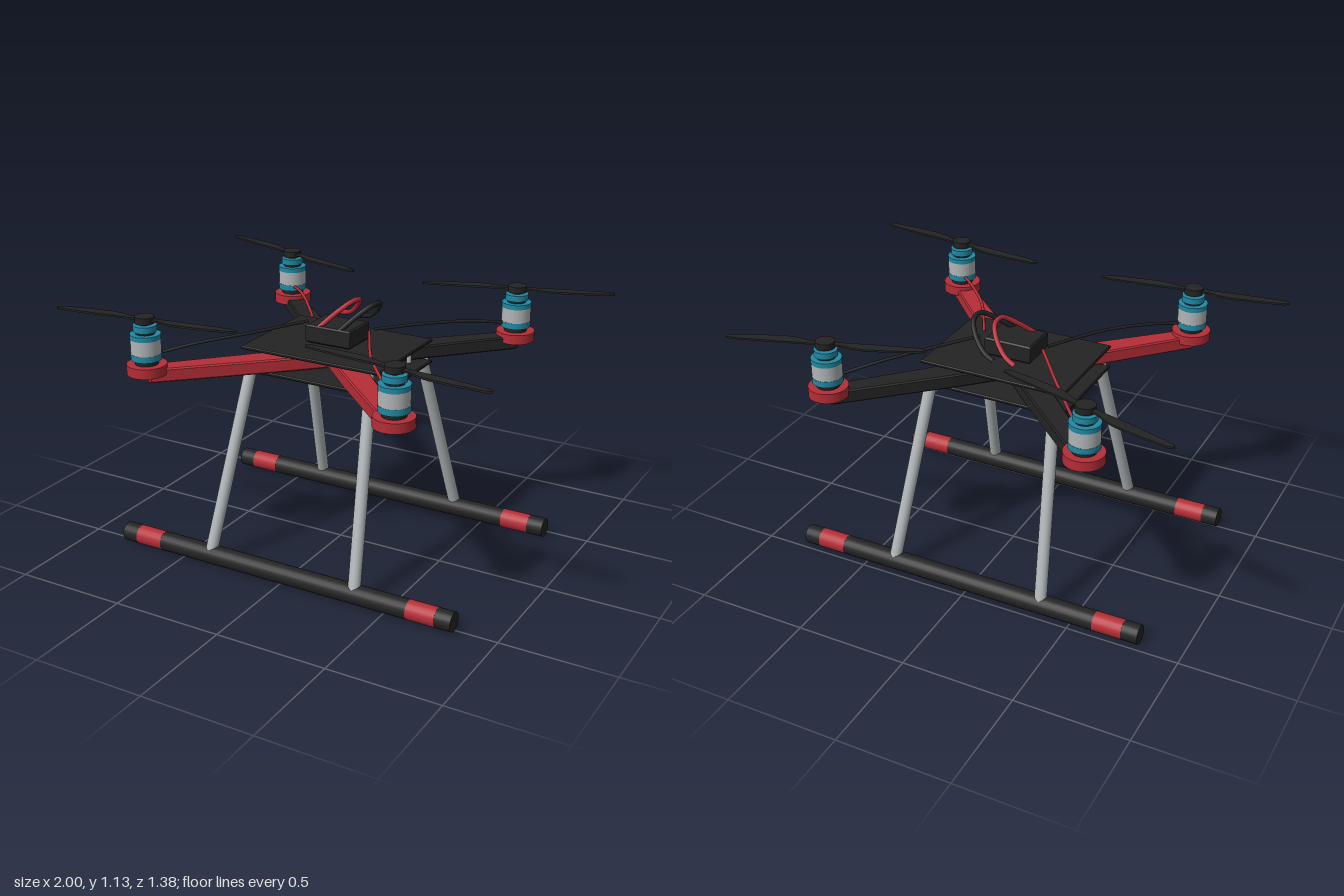
import * as THREE from 'three';

const paint = (name, color) => {
  const m = new THREE.MeshStandardMaterial({ color });
  m.name = name;
  return m;
};

export function createModel() {
  const black = paint('carbon black', 0x232323);
  const red = paint('red', 0xb52d36);
  const teal = paint('teal', 0x2089a3);
  const grey = paint('aluminium grey', 0xb0b5b7);

  const model = new THREE.Group();
  model.name = 'quadcopter';
  const CZ = 0.03; // airframe centre
  const V = (x, y, z) => new THREE.Vector3(x, y, z);

  const add = (parent, name, geo, mat, x = 0, y = 0, z = 0) => {
    const mesh = new THREE.Mesh(geo, mat);
    mesh.name = name;
    mesh.position.set(x, y, z);
    parent.add(mesh);
    return mesh;
  };
  // Vertical disc from y0 to y1
  const disc = (parent, name, r, y0, y1, mat, x = 0, z = 0) =>
    add(parent, name, new THREE.CylinderGeometry(r, r, y1 - y0, 32), mat, x, (y0 + y1) / 2, z);
  // Round rod between two points
  const rod = (name, a, b, r, mat) => {
    const mesh = add(model, name, new THREE.CylinderGeometry(r, r, a.distanceTo(b), 20), mat);
    mesh.position.copy(a).lerp(b, 0.5);
    mesh.quaternion.setFromUnitVectors(V(0, 1, 0), b.clone().sub(a).normalize());
  };
  const wire = (name, pts, r, mat) =>
    add(model, name, new THREE.TubeGeometry(new THREE.CatmullRomCurve3(pts), 32, r, 8), mat);
  // Flat outline laid horizontally, extruded upward
  const slab = (pts, depth, bevel = 0) => {
    const geo = new THREE.ExtrudeGeometry(new THREE.Shape(pts.map(p => new THREE.Vector2(...p))), {
      depth: depth - 2 * bevel, bevelEnabled: bevel > 0, bevelSize: bevel,
      bevelThickness: bevel, bevelOffset: -bevel, bevelSegments: 1,
    });
    geo.translate(0, 0, bevel);
    return geo.rotateX(-Math.PI / 2);
  };

  // Centre plates and standoffs
  const pw = 0.335, pd = 0.245;
  const plate = slab([[-pw, -pd], [pw, -pd], [pw, pd], [-pw, pd]], 0.015, 0.004);
  add(model, 'lowerPlate', plate, black, 0, 0.828, CZ);
  add(model, 'upperPlate', plate, black, 0, 0.926, CZ);
  for (const x of [-0.26, 0.26])
    for (const z of [-0.14, 0.2]) disc(model, 'standoff', 0.011, 0.84, 0.928, grey, x, z);

  // Arms, motors and propellers
  const armGeo = slab([[0, 0], [0.055, -0.055], [0.3, -0.055], [0.81, -0.04], [0.822, -0.03],
    [0.822, 0.03], [0.81, 0.04], [0.3, 0.055], [0.055, 0.055]], 0.06, 0.006);
  const bladeGeo = slab([[0.02, 0.014], [0.09, 0.012], [0.2, 0.016], [0.36, 0.016], [0.415, 0.012],
    [0.422, 0], [0.4, -0.014], [0.28, -0.028], [0.17, -0.035], [0.12, -0.03], [0.07, -0.014],
    [0.02, -0.014]], 0.008);
  for (const sx of [-1, 1]) for (const sz of [-1, 1]) {
    const mx = 0.58 * sx, mz = CZ + 0.58 * sz;
    const arm = add(model, 'arm', armGeo, sz > 0 ? red : black, 0, 0.847, CZ);
    arm.rotation.y = Math.atan2(-sz, sx);

    const motor = new THREE.Group();
    motor.name = 'motor';
    motor.position.set(mx, 0, mz);
    model.add(motor);
    disc(motor, 'motorMount', 0.085, 0.882, 0.925, red);
    disc(motor, 'motorBase', 0.05, 0.925, 0.946, black);
    disc(motor, 'motorLowerRing', 0.065, 0.945, 0.972, teal);
    disc(motor, 'motorCan', 0.064, 0.972, 1.035, grey);
    disc(motor, 'motorUpperRing', 0.065, 1.035, 1.056, teal);
    disc(motor, 'motorNeck', 0.04, 1.056, 1.067, black);
    disc(motor, 'motorCap', 0.05, 1.067, 1.094, teal);
    disc(motor, 'propellerShaft', 0.022, 1.094, 1.104, black);
    disc(motor, 'propellerHub', 0.041, 1.102, 1.13, black);
    const angle = sx * sz * (sz > 0 ? -0.12 : -0.3);
    for (const turn of [0, Math.PI])
      add(motor, 'propellerBlade', bladeGeo, black, 0, 1.112, 0).rotation.y = angle + turn;

    // Motor lead
    wire('motorLead', [V(0.15 * sx, 1.01, CZ - 0.03 + 0.02 * sz), V(0.3 * sx, 1.003, CZ + 0.25 * sz),
      V(0.43 * sx, 0.99, CZ + 0.41 * sz), V(0.535 * sx, 0.967, CZ + 0.53 * sz)],
    0.007, sx * sz > 0 ? red : black);
  }

  // Battery with its two looping cables
  add(model, 'battery', slab([[-0.108, -0.085], [0.108, -0.085], [0.108, 0.085], [-0.108, 0.085]],
    0.08, 0.007), black, 0, 0.948, CZ - 0.002);
  for (const [dx, mat] of [[0, red], [0.1, black]])
    wire('batteryCable', [V(-0.05 + dx, 1.02, 0.1), V(0, 1.075, 0.045), V(0.045, 1.117, -0.01),
      V(0.05, 1.115, -0.07), V(0.02, 1.075, -0.12), V(-0.04, 1.02, -0.16), V(-0.1, 1.0, -0.185)]
      .map((p, i) => (dx && i ? p.add(V(dx, 0, 0)) : p)), 0.011, mat);

  // Landing legs and skids
  for (const s of [-1, 1]) {
    const skidZ = CZ + 0.48 * s;
    for (const sx of [-1, 1]) {
      rod('landingLeg', V(0.29 * sx, 0.835, CZ + 0.24 * s), V(0.357 * sx, 0.06, CZ + 0.485 * s), 0.027, grey);
      rod('skidBand', V(0.61 * sx, 0.043, skidZ), V(0.74 * sx, 0.043, skidZ), 0.0435, red);
      rod('skidEnd', V(0.74 * sx, 0.043, skidZ), V(0.813 * sx, 0.043, skidZ), 0.043, black);
    }
    rod('skid', V(-0.61, 0.043, skidZ), V(0.61, 0.043, skidZ), 0.043, black);
  }
  return model;
}
